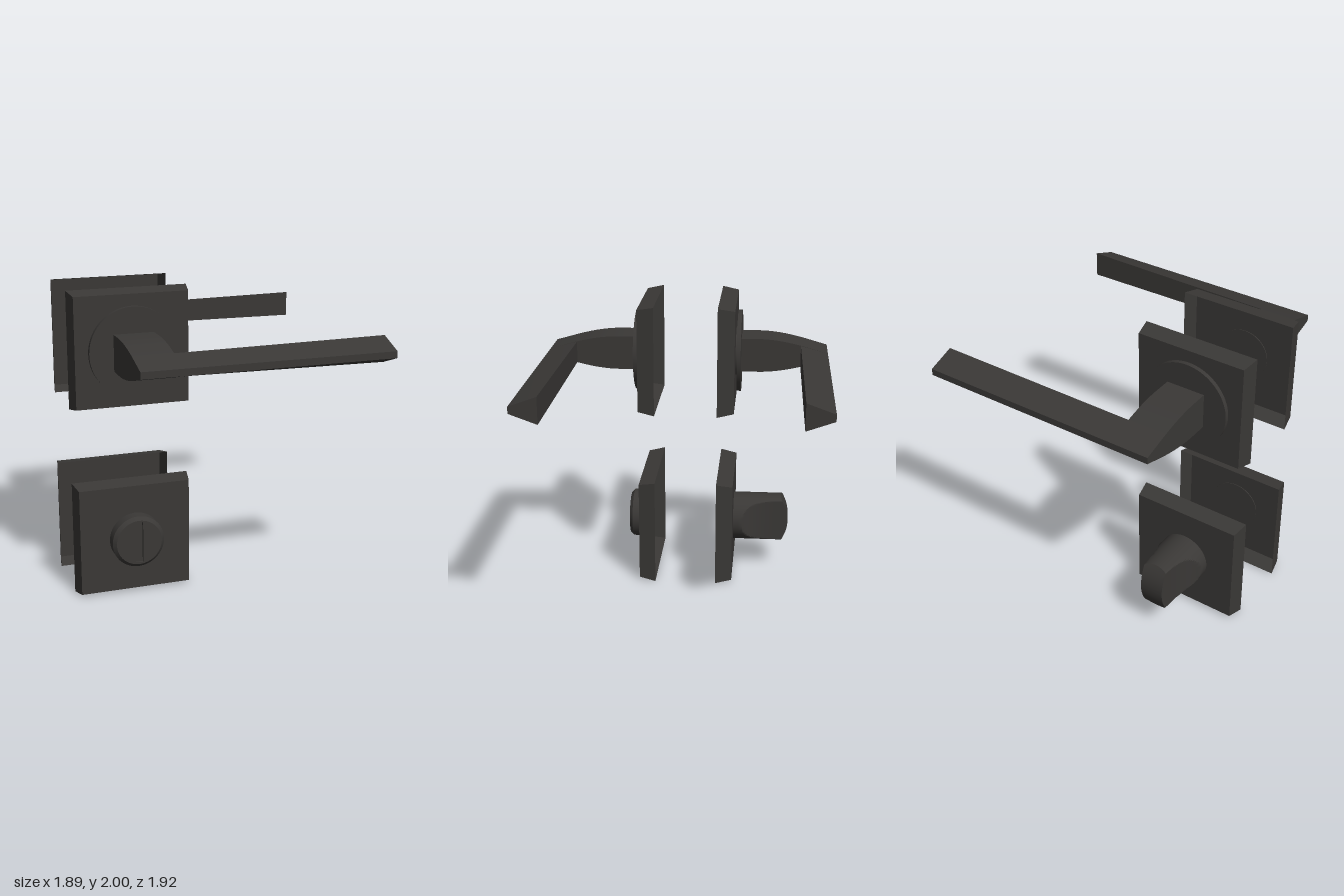
import * as THREE from 'three';
import { toCreasedNormals } from 'three/addons/utils/BufferGeometryUtils.js';

const material = new THREE.MeshStandardMaterial({ color: 0x3a3836 });
const openMaterial = new THREE.MeshStandardMaterial({ color: 0x3a3836, side: THREE.DoubleSide });
const CENTER_X = -0.5585, UPPER_Y = 1.6245, LOWER_Y = 0.3765;
const KNOB_R = 0.172, FACE_Z = 0.33;

function add(parent, name, geometry, mat = material) {
  const mesh = new THREE.Mesh(geometry, mat);
  mesh.name = name;
  parent.add(mesh);
  return mesh;
}

// Move every vertex of a geometry by a rule
function reshape(geometry, rule) {
  const p = geometry.attributes.position, v = new THREE.Vector3();
  for (let i = 0; i < p.count; i++) {
    rule(v.fromBufferAttribute(p, i));
    p.setXYZ(i, v.x, v.y, v.z);
  }
  geometry.computeVertexNormals();
  return geometry;
}

// Disc along z between two depths
function disc(radius, z0, z1) {
  return new THREE.CylinderGeometry(radius, radius, z1 - z0, 72).rotateX(Math.PI / 2).translate(0, 0, (z0 + z1) / 2);
}

// Hollow square cover with sloping walls, open towards the door
function coverPlate() {
  const g = new THREE.BoxGeometry(0.773, 0.753, 0.115);
  g.setIndex(Array.from(g.index.array).slice(0, 30));
  g.clearGroups();
  return reshape(g, (v) => {
    if (v.z > 0) {
      v.x -= Math.sign(v.x) * 0.021;
      v.y -= Math.sign(v.y) * 0.021;
    }
    v.z += 0.2725;
  });
}

// Shank with a bowed taper, ending in the wedge nose of the grip
function shankGeometry() {
  const bow = new THREE.SplineCurve([[0.365, 0.116], [0.53, 0.115], [0.66, 0.1], [0.78, 0.074]]
    .map(([z, y]) => new THREE.Vector2(z, y))).getPoints(16);
  const top = [...bow, new THREE.Vector2(0.962, 0.022)];
  const bottom = top.map((p) => new THREE.Vector2(p.x, -p.y)).reverse();
  const g = new THREE.ExtrudeGeometry(new THREE.Shape([...top, ...bottom]), { depth: 0.258, bevelEnabled: false });
  // The profile's x runs along depth z, the extrusion along x
  g.rotateY(-Math.PI / 2).translate(0.13, 0, 0);
  return toCreasedNormals(g, 0.2);
}

// Wedge-section grip that grows slightly towards its free end
function gripGeometry() {
  return reshape(new THREE.BoxGeometry(1, 1, 1), (v) => {
    const end = v.x > 0, nose = v.z > 0;
    v.x = end ? 0.944 - CENTER_X : 0.12;
    v.y = Math.sign(v.y) * (nose ? 0.022 : end ? 0.086 : 0.072);
    v.z = nose ? 0.962 : end ? 0.785 : 0.776;
  });
}

function handleSet() {
  const group = new THREE.Group();
  add(group, 'handlePlate', coverPlate(), openMaterial);
  add(group, 'roseNeck', disc(0.17, 0.325, 0.345));
  add(group, 'roseDisc', disc(0.283, 0.34, 0.368));
  add(group, 'leverShank', shankGeometry());
  add(group, 'leverGrip', gripGeometry());
  return group;
}

// Coin-slot release: short drum with a rounded rim and an upright slot
function releaseKnob() {
  const group = new THREE.Group();
  group.name = 'releaseKnob';
  add(group, 'releaseDrum', disc(KNOB_R, FACE_Z - 0.005, 0.402));
  const shape = new THREE.Shape().absarc(0, 0, KNOB_R, 0, Math.PI * 2);
  const w = 0.026, h = 0.14;
  shape.holes.push(new THREE.Path([[-w, -h], [-w, h], [w, h], [w, -h]].map(([x, y]) => new THREE.Vector2(x, y))));
  const cap = new THREE.ExtrudeGeometry(shape, { depth: 0.022, bevelEnabled: false, curveSegments: 72 });
  reshape(cap, (v) => {
    if (v.z > 0.01 && Math.hypot(v.x, v.y) > 0.16) {
      v.x *= 0.87;
      v.y *= 0.87;
    }
    v.z += 0.402;
  });
  add(group, 'slottedCap', toCreasedNormals(cap, 0.5));
  return group;
}

// Thumb turn: a drum scooped away on both sides, with an arched end
function thumbTurnGeometry() {
  const points = [];
  for (let i = 0; i <= 28; i++) points.push(new THREE.Vector2(KNOB_R, i / 28));
  for (let i = 7; i >= 0; i--) points.push(new THREE.Vector2(KNOB_R * i / 8, 1));
  const g = new THREE.LatheGeometry(points, 96).rotateX(Math.PI / 2);
  reshape(g, (v) => {
    const end = 0.725 - 0.055 * (v.y / KNOB_R) ** 2;
    v.z = FACE_Z - 0.005 + v.z * (end - FACE_Z + 0.005);
    // Half width left between the two scoops at this depth
    const t = Math.max(0, v.z - 0.39);
    const half = v.z < 0.39 ? KNOB_R : 0.078 + (KNOB_R - 0.078) * Math.exp(-t / 0.09);
    v.x = THREE.MathUtils.clamp(v.x, -half, half);
  });
  return toCreasedNormals(g, 0.45);
}

export function createModel() {
  const model = new THREE.Group();
  model.name = 'doorHandleSet';
  for (const front of [true, false]) {
    const side = front ? 'front' : 'back';
    const handle = handleSet();
    handle.name = side + 'Handle';
    handle.position.set(CENTER_X, UPPER_Y, 0);

    const lock = new THREE.Group();
    lock.name = side + 'PrivacyLock';
    lock.position.set(CENTER_X, LOWER_Y, 0);
    add(lock, 'lockPlate', coverPlate(), openMaterial);
    if (front) lock.add(releaseKnob());
    else add(lock, 'thumbTurn', thumbTurnGeometry());

    // Turning about x puts the second set on the other door face
    if (!front) handle.rotation.x = lock.rotation.x = Math.PI;
    model.add(handle, lock);
  }
  return model;
}
